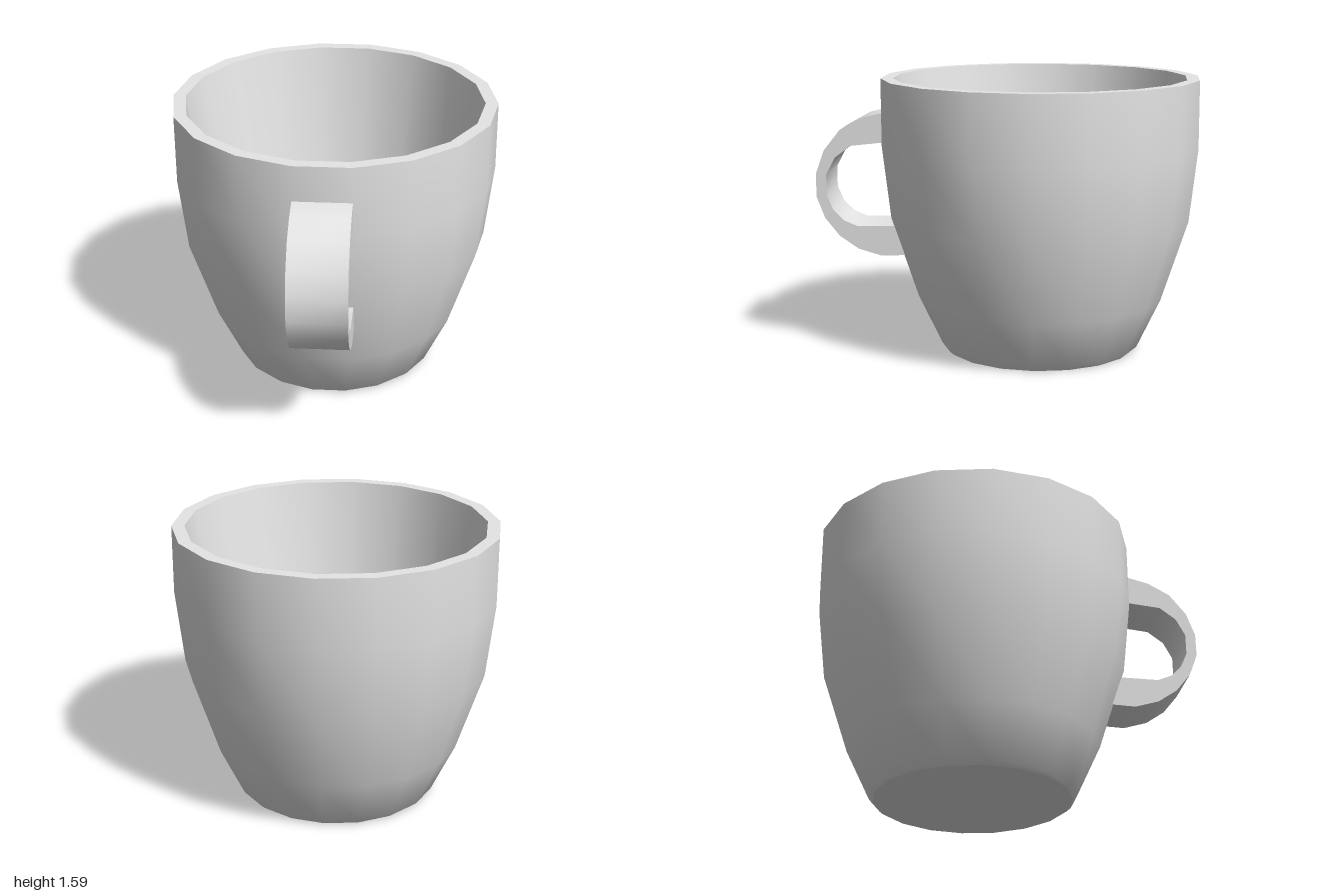
import * as THREE from 'three';
import { toCreasedNormals } from 'three/addons/utils/BufferGeometryUtils.js';

const CREASE = 0.65; // smooth along curves, sharp at rim, base and handle sides
const toPoints = (list) => list.map(([a, b]) => new THREE.Vector2(a, b));

export function createModel() {
  const group = new THREE.Group();
  group.name = 'mug';
  const ceramic = new THREE.MeshStandardMaterial({ color: 0xe5e5e5 });
  ceramic.name = 'light grey ceramic';

  // Cup: one closed profile, outside from the base up, over the rim,
  // then a straight taper down to the inner floor
  const profile = toPoints([
    [0, 0], [0.557, 0], [0.58, 0.02], [0.717, 0.31], [0.87, 0.78], [0.918, 1.2], [0.918, 1.59],
    [0.846, 1.59], [0.605, 0.12], [0, 0.12],
  ]);
  const cup = new THREE.Mesh(
    toCreasedNormals(new THREE.LatheGeometry(profile, 18, Math.PI / 2), CREASE), ceramic);
  cup.name = 'cup';
  cup.position.set(0.016, 0, -0.095);
  group.add(cup);

  // Handle: C-shaped outline (distance from the cup axis, height) extruded to a flat band
  const outline = toPoints([
    [0.885, 1.39], [0.907, 1.39], [1.024, 1.36], [1.149, 1.29], [1.244, 1.17], [1.292, 1.035],
    [1.292, 0.9], [1.244, 0.775], [1.16, 0.67], [1.05, 0.595], [0.914, 0.555], [0.765, 0.562],
    [0.82, 0.735], [1.055, 0.73], [1.133, 0.762], [1.196, 0.825], [1.232, 0.91],
    [1.232, 1.03], [1.18, 1.13], [1.087, 1.2], [0.885, 1.222],
  ]);
  const width = 0.317;
  const band = new THREE.ExtrudeGeometry(new THREE.Shape(outline), { depth: width, bevelEnabled: false });
  band.translate(0, 0, -width / 2);
  const handle = new THREE.Mesh(toCreasedNormals(band, CREASE), ceramic);
  handle.name = 'handle';
  handle.position.copy(cup.position);
  handle.rotation.y = THREE.MathUtils.degToRad(-130);
  group.add(handle);

  return group;
}
